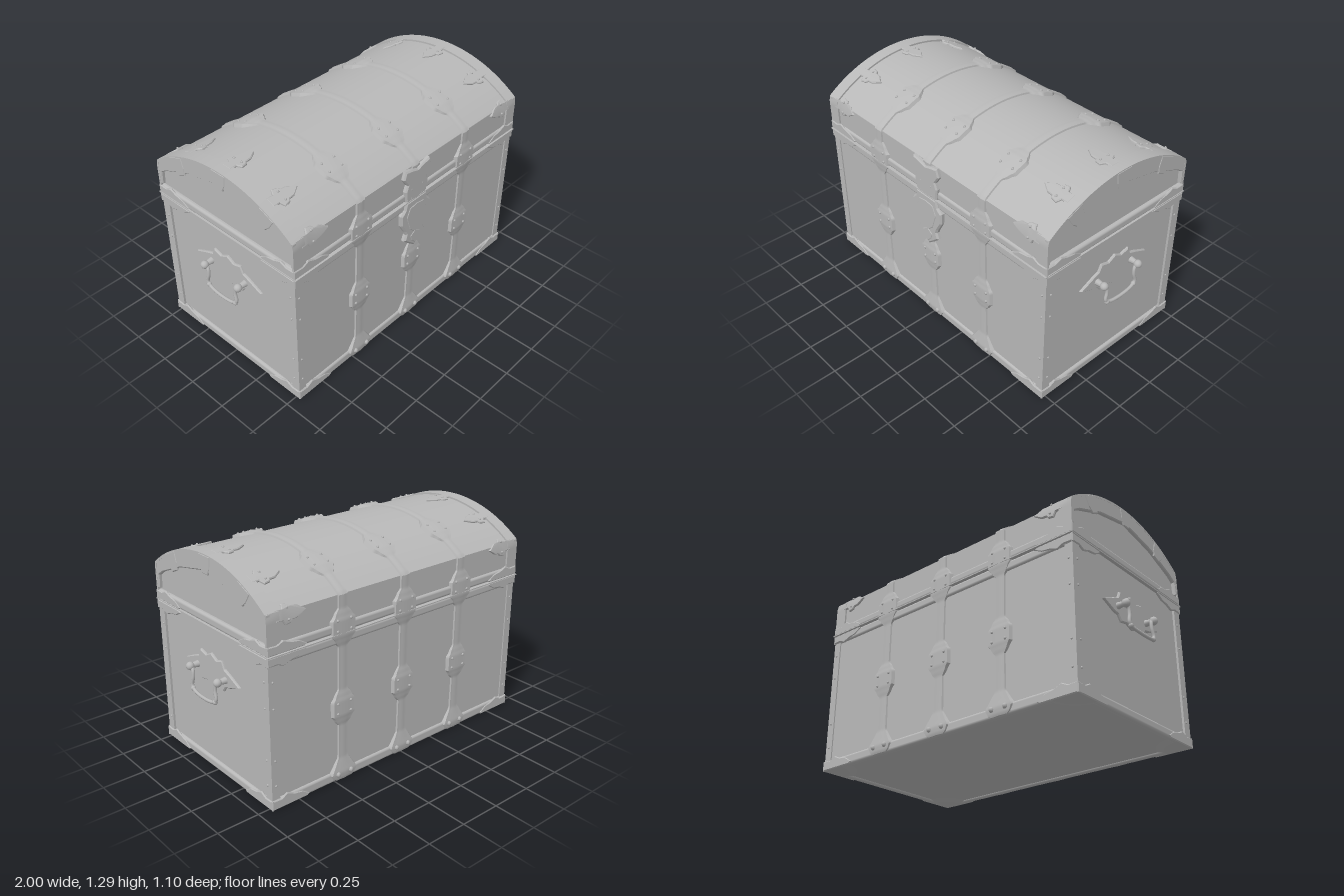
import * as THREE from 'three';
import { toCreasedNormals, mergeGeometries } from 'three/addons/utils/BufferGeometryUtils.js';
import { RoundedBoxGeometry } from 'three/addons/geometries/RoundedBoxGeometry.js';

// Chest cross-section: vertical walls up to WALL, then a shallow arc
const Z = 0.515, WALL = 1.095, R = 0.845, CY = 0.425;
const HALF = Math.asin(Z / R), ARC = 2 * HALF * R, TOTAL = 2 * WALL + ARC, MID = TOTAL / 2;

// Point at distance s along the section (front floor -> over the lid -> back floor), raised by h
function place(x, s, h) {
  if (s < WALL) return new THREE.Vector3(x, s, Z + h);
  if (s > WALL + ARC) return new THREE.Vector3(x, TOTAL - s, -Z - h);
  const a = HALF - (s - WALL) / R;
  return new THREE.Vector3(x, CY + (R + h) * Math.cos(a), (R + h) * Math.sin(a));
}

// Wraps a flat geometry (x, s, height) round the chest
function wrap(geo) {
  const p = geo.attributes.position;
  for (let i = 0; i < p.count; i++) {
    const v = place(p.getX(i), p.getY(i), p.getZ(i));
    p.setXYZ(i, v.x, v.y, v.z);
  }
  return toCreasedNormals(geo, 0.6);
}

function interpolate(table, s) {
  for (let i = 1; i < table.length; i++) {
    const [s0, w0] = table[i - 1], [s1, w1] = table[i];
    if (s <= s1) return w0 + (w1 - w0) * (s - s0) / (s1 - s0);
  }
  return table[table.length - 1][1];
}

function plate(points, depth, bevel = 0.005) {
  const shape = new THREE.Shape(points.map(([x, y]) => new THREE.Vector2(x, y)));
  return new THREE.ExtrudeGeometry(shape, {
    depth, bevelEnabled: bevel > 0, bevelThickness: bevel, bevelSize: bevel, bevelOffset: -bevel, bevelSegments: 1,
  });
}
const mirrored = (pts) => [...pts, ...pts.slice().reverse().filter(([x]) => x !== 0).map(([x, y]) => [-x, y])];

export function createModel() {
  const group = new THREE.Group();
  const grey = new THREE.MeshStandardMaterial({ color: 0xb8b8b8 });
  grey.name = 'plain grey';
  const add = (name, geo, x = 0, y = 0, z = 0) => {
    const mesh = new THREE.Mesh(geo, grey);
    mesh.name = name;
    mesh.position.set(x, y, z);
    group.add(mesh);
    return mesh;
  };
  const rail = (name, w, h, d, x, y, z) => add(name, new RoundedBoxGeometry(w, h, d, 2, Math.min(w, h, d) * 0.4), x, y, z);
  // Flat plates on an end wall (points are z, y) and on the front or back wall (points are x, y)
  const endPlate = (name, pts, side, x, depth, bevel) =>
    add(name, plate(pts.map(([z, y]) => [-z * side, y]), depth, bevel).rotateY(side * Math.PI / 2), side * x);
  const wallPlate = (name, pts, side, z, depth, bevel) =>
    add(name, plate(pts.map(([x, y]) => [x * side, y]), depth, bevel).rotateY(side > 0 ? 0 : Math.PI), 0, 0, side * z);
  const rivets = [];
  const rivet = (v, r = 0.007) => rivets.push(new THREE.SphereGeometry(r, 6, 4).translate(v.x, v.y, v.z));

  // Body and domed lid
  add('body', new THREE.BoxGeometry(1.82, 0.868, 2 * Z), 0, 0.446, 0);
  const section = [[Z, 0.885]];
  for (let i = 0; i <= 32; i++) {
    const v = place(0, WALL + ARC * i / 32, 0);
    section.push([v.z, v.y]);
  }
  section.push([-Z, 0.885]);
  const lid = plate(section.map(([z, y]) => [-z, y]), 1.81, 0).rotateY(Math.PI / 2);
  add('lid', toCreasedNormals(lid, 0.6), -0.905);
  add('seam', new THREE.BoxGeometry(1.86, 0.006, 1.075), 0, 0.882, 0);

  // Horizontal rails
  for (const s of [-1, 1]) {
    rail('bottomRail', 1.85, 0.062, 0.04, 0, 0.031, s * 0.507);
    rail('bodyTopRail', 1.85, 0.056, 0.04, 0, 0.85, s * 0.507);
    rail('lidRail', 1.85, 0.054, 0.04, 0, 0.914, s * 0.507);
    rail('bottomEndRail', 0.04, 0.055, 1.04, s * 0.907, 0.0275, 0);
    rail('lidEndRail', 0.04, 0.054, 1.04, s * 0.907, 0.914, 0);
  }

  // Corner posts, bottom caps and pointed corner fittings
  const fitting = [[0, 0], [0, 0.058], [0.06, 0.055], [0.1, 0.075], [0.145, 0.055], [0.2, 0.045], [0.25, 0.012], [0.235, 0]];
  for (const sx of [-1, 1]) for (const sz of [-1, 1]) {
    add('cornerPost', new THREE.BoxGeometry(0.05, 0.86, 0.055), sx * 0.898, 0.44, sz * 0.495);
    const start = Math.PI / 2 * (sx > 0 ? (sz > 0 ? 2 : 3) : (sz > 0 ? 1 : 0));
    add('bottomCap', new THREE.CylinderGeometry(0.21, 0.15, 0.018, 8, 1, false, start, Math.PI / 2),
      sx * 0.922, 0.009, sz * 0.522);
    for (const [base, dir] of [[0, 1], [0.886, 0.9], [0.878, -0.85]]) {
      const pts = (edge, sign) => fitting.map(([u, v]) => [sign * (edge - u), base + dir * v]);
      wallPlate('frontCornerFitting', pts(0.93, sx), sz, 0.522, 0.004);
      endPlate('endCornerFitting', pts(0.53, sz), sx, 0.921, 0.004);
    }
    for (const y of [0.14, 0.29, 0.59, 0.74]) {
      rivet(new THREE.Vector3(sx * 0.923, y, sz * 0.487));
      rivet(new THREE.Vector3(sx * 0.897, y, sz * 0.5225));
    }
  }

  // Straps whose width swells into ornaments and whose relief follows the width
  const ornament = (c, k) => [[-0.105, 0.034], [-0.085, 0.055], [-0.06, 0.07], [-0.045, 0.085], [0.045, 0.085],
    [0.06, 0.068], [0.085, 0.055], [0.105, 0.034]].map(([d, w]) => [c + d, 0.034 + (w - 0.034) * k]);
  const LID_ORNAMENT = 1.331;
  const widths = [[0, 0.05], [0.015, 0.08], [0.05, 0.1], [0.085, 0.075], [0.14, 0.038],
    ...ornament(0.45, 0.95), ...ornament(0.915, 1.05), ...ornament(LID_ORNAMENT, 1), [MID, 0.034]];
  for (const x0 of [-0.44, 0, 0.44]) {
    const geo = new THREE.BoxGeometry(2, TOTAL - 0.01, 1, 4, 320, 1);
    const p = geo.attributes.position;
    for (let i = 0; i < p.count; i++) {
      const s = p.getY(i) + MID, u = p.getX(i), top = p.getZ(i) > 0;
      const w = interpolate(widths, Math.min(s, TOTAL - s));
      const h = 0.009 + 0.2 * Math.max(0, w - 0.036) + (Math.abs(u) < 0.1 ? 0.003 : 0);
      p.setXYZ(i, x0 + u * w * (top ? 0.86 : 1), s, top ? h : -0.004);
    }
    add('strap', wrap(geo));
    for (const c of [0.45, 0.93, LID_ORNAMENT]) for (const s0 of [c, TOTAL - c])
      for (const dx of [-0.045, 0.045]) for (const ds of [-0.03, 0.03]) rivet(place(x0 + dx, s0 + ds, 0.018), 0.009);
    for (const s0 of [0.045, TOTAL - 0.045]) for (const dx of [-0.045, 0.045]) rivet(place(x0 + dx, s0, 0.02), 0.016);
  }

  // Edge bands and leaf fittings on the lid ends
  const leaf = [[-0.02, 0.03], [0.025, 0.028], [0.04, 0.056], [0.075, 0.05], [0.085, 0.035], [0.12, 0.032], [0.17, 0]];
  const inner = [[0.525, 0.94], [0.5, 0.95], [0.495, 1.03], [0.45, 1.06], [0.25, 1.14], [0, 1.19]];
  for (const side of [-1, 1]) {
    const band = new THREE.BoxGeometry(0.082, TOTAL - 1.8, 0.013, 1, 60, 1).translate(side * 0.886, MID, 0.004);
    add('lidEdgeBand', wrap(band));
    const outer = [];
    for (let i = 0; i <= 24; i++) {
      const v = place(0, WALL + ARC * i / 24, 0.01);
      outer.push([v.z, v.y]);
    }
    const arch = [[0.525, 0.94], ...outer, [-0.525, 0.94],
      ...inner.slice(1).map(([z, y]) => [-z, y]), ...inner.slice(1, -1).reverse()];
    endPlate('lidEndArch', arch, side, 0.9, 0.02, 0.006);

    for (const s of [1.08, LID_ORNAMENT, MID, TOTAL - LID_ORNAMENT, TOTAL - 1.08]) {
      const outline = [...leaf, ...leaf.slice(0, -1).reverse().map(([u, v]) => [u, -v])]
        .map(([u, v]) => [side * (0.85 - u), s + v]);
      add('lidLeaf', wrap(plate(outline, 0.007, 0.005)));
      for (const dv of [-0.028, 0.028]) rivet(place(side * 0.79, s + dv, 0.012), 0.008);
    }
    // Tabs folded over the arch
    for (const s of [LID_ORNAMENT - 0.04, MID, TOTAL - LID_ORNAMENT + 0.04]) {
      const tab = [[-0.055, 0.008], [0.055, 0.008], [0.05, -0.06], [0.03, -0.1], [-0.03, -0.1], [-0.05, -0.06]]
        .map(([d, h]) => place(0, s + d, h)).map((v) => [v.z, v.y]);
      endPlate('lidEndTab', tab, side, 0.921, 0.003);
    }
  }

  // Lock plate and hasp
  wallPlate('lockPlate', mirrored([[0, 0.885], [0.085, 0.885], [0.095, 0.84], [0.125, 0.81], [0.12, 0.74],
    [0.085, 0.68], [0.075, 0.655], [0.09, 0.615], [0.05, 0.58], [0, 0.54]]), 1, 0.515, 0.016, 0.01);
  wallPlate('lockBoss', mirrored([[0, 0.85], [0.06, 0.84], [0.085, 0.78], [0.05, 0.68], [0, 0.64]]), 1, 0.532, 0.006, 0.006);
  wallPlate('keyholeDrop', mirrored([[0, 0.66], [0.045, 0.63], [0.03, 0.59], [0, 0.56]]), 1, 0.532, 0.006, 0.006);
  wallPlate('hasp', mirrored([[0, 1.075], [0.05, 1.09], [0.1, 1.1], [0.115, 1.05], [0.08, 1.0], [0.095, 0.96],
    [0.085, 0.89], [0, 0.885]]), 1, 0.515, 0.016, 0.008);

  // End handles
  const top = [[0, 0.725], [0.05, 0.698], [0.105, 0.715], [0.125, 0.672], [0.17, 0.655], [0.26, 0.613]];
  const low = [[0.17, 0.575], [0.13, 0.568], [0.105, 0.535], [0.05, 0.545], [0, 0.525]];
  const arc = [[0.965, 0.615, 0.135], [0.972, 0.598, 0.112], [0.975, 0.56, 0.108], [0.978, 0.51, 0.118], [0.98, 0.49, 0.1], [0.984, 0.48, 0.05]];
  for (const side of [-1, 1]) {
    endPlate('handlePlate', mirrored([...top, ...low]), side, 0.908, 0.01, 0.006);
    const path = [...arc, ...arc.slice().reverse().map(([x, y, z]) => [x, y, -z])]
      .map(([x, y, z]) => new THREE.Vector3(side * x, y, z));
    add('handleBail', new THREE.TubeGeometry(new THREE.CatmullRomCurve3(path), 48, 0.01, 8));
    for (const sz of [-1, 1]) {
      add('handlePost', new THREE.CylinderGeometry(0.012, 0.022, 0.07, 10).rotateZ(-side * Math.PI / 2),
        side * 0.945, 0.615, sz * 0.135);
      add('handleKnob', new THREE.SphereGeometry(0.024, 12, 8), side * 0.974, 0.615, sz * 0.135);
      add('bailBead', new THREE.SphereGeometry(0.015, 8, 6), side * 0.979, 0.492, sz * 0.108);
    }
  }

  add('rivets', mergeGeometries(rivets));
  return group;
}
